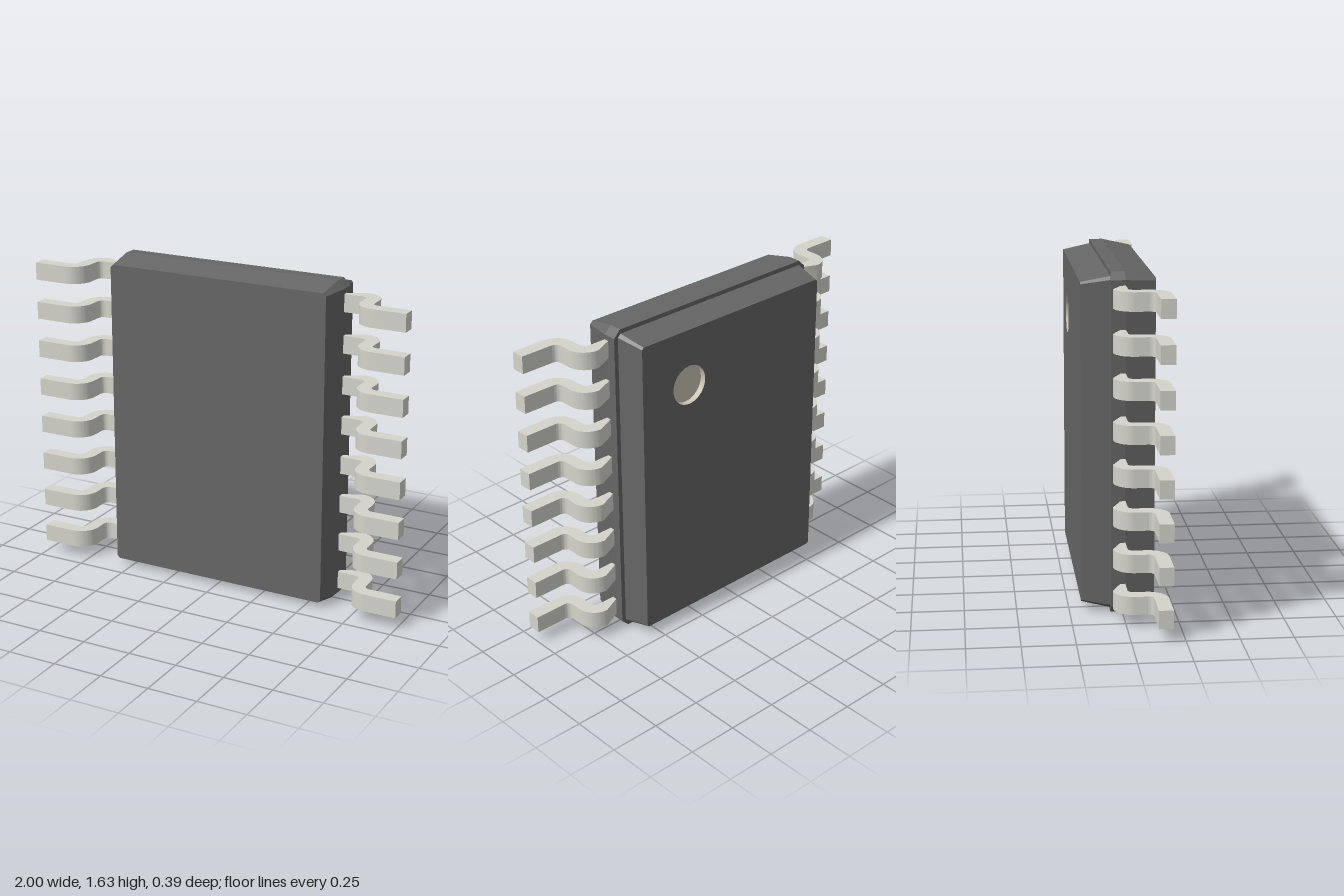
import * as THREE from 'three';
import { mergeGeometries, toCreasedNormals } from 'three/addons/utils/BufferGeometryUtils.js';

const MID_Y = 0.8175;
const SPLIT_Z = -0.056;
const BACK_Z = -0.194;
const DIMPLE = { x: 0.28, y: 1.30 - MID_Y, r: 0.1, depth: 0.03 };

// Rectangle with chamfered corners, anticlockwise
function outline([, hx, hy, c]) {
  return [
    [hx, -hy + c], [hx, hy - c], [hx - c, hy], [-hx + c, hy],
    [-hx, hy - c], [-hx, -hy + c], [-hx + c, -hy], [hx - c, -hy],
  ].map(([x, y]) => new THREE.Vector2(x, y));
}

// Flat end face of a moulding, with an optional hole
function cap(ring, facesBack, hole) {
  const shape = new THREE.Shape(outline(ring));
  if (hole) {
    shape.holes.push(new THREE.Path().absarc(facesBack ? -hole.x : hole.x, hole.y, hole.r, 0, Math.PI * 2, true));
  }
  const geo = new THREE.ShapeGeometry(shape, 20);
  if (facesBack) geo.rotateY(Math.PI);
  geo.translate(0, 0, ring[0]);
  geo.deleteAttribute('uv');
  return geo.toNonIndexed();
}

// Loft through rings [z, halfWidth, halfHeight, chamfer], listed front to back
function moulding(rings, hole) {
  const pos = [];
  for (let i = 0; i < rings.length - 1; i++) {
    const p = outline(rings[i]), q = outline(rings[i + 1]);
    for (let k = 0; k < 8; k++) {
      const n = (k + 1) % 8;
      const a = [p[k].x, p[k].y, rings[i][0]], b = [p[n].x, p[n].y, rings[i][0]];
      const c = [q[n].x, q[n].y, rings[i + 1][0]], d = [q[k].x, q[k].y, rings[i + 1][0]];
      pos.push(...a, ...d, ...b, ...b, ...d, ...c);
    }
  }
  const sides = new THREE.BufferGeometry();
  sides.setAttribute('position', new THREE.Float32BufferAttribute(pos, 3));
  sides.computeVertexNormals();
  return mergeGeometries([sides, cap(rings[0], false), cap(rings[rings.length - 1], true, hole)]);
}

// Gull-wing lead drawn in the x-z plane and extruded along y
function leadGeometry() {
  const zTop = SPLIT_Z, zFoot = 0.193, t = 0.068, h = 0.088;
  const xIn = 0.736, xOut = xIn + t, R = 0.096, r = R - t;
  const s = new THREE.Shape();
  s.moveTo(0.56, zTop);
  s.absarc(xOut - R, zTop + R, R, -Math.PI / 2, 0, false);
  s.absarc(xOut + r, zFoot - R, r, Math.PI, Math.PI / 2, true);
  s.lineTo(1, zFoot - t);
  s.lineTo(1, zFoot);
  s.absarc(xIn + R, zFoot - R, R, Math.PI / 2, Math.PI, false);
  s.absarc(xIn - r, zTop + R, r, 0, -Math.PI / 2, true);
  s.lineTo(0.56, zTop + t);
  s.closePath();
  const geo = new THREE.ExtrudeGeometry(s, { depth: h, bevelEnabled: false, curveSegments: 10 });
  geo.translate(0, 0, -h / 2);
  geo.rotateX(Math.PI / 2);
  return toCreasedNormals(geo, 0.6);
}

export function createModel() {
  const model = new THREE.Group();
  model.name = 'chipPackage';
  const plastic = new THREE.MeshStandardMaterial({ color: 0x666666 });
  const metal = new THREE.MeshStandardMaterial({ color: 0xd4d4cc });
  const marker = new THREE.MeshStandardMaterial({ color: 0xc8c2b4, side: THREE.DoubleSide });

  function add(parent, name, geo, mat) {
    const mesh = new THREE.Mesh(geo, mat);
    mesh.name = name;
    parent.add(mesh);
    return mesh;
  }

  // Two-part body, the back half slightly smaller
  const body = new THREE.Group();
  body.name = 'body';
  body.position.y = MID_Y;
  model.add(body);
  add(body, 'frontMoulding', moulding([
    [0.153, 0.584, 0.787, 0.014],
    [0.01, 0.614, 0.8175, 0.036],
    [SPLIT_Z, 0.614, 0.8175, 0.036],
  ]), plastic);
  add(body, 'backMoulding', moulding([
    [SPLIT_Z, 0.592, 0.796, 0.016],
    [BACK_Z, 0.566, 0.768, 0.01],
  ], DIMPLE), plastic);

  // Round index dimple sunk into the back face
  const { x, y, r, depth } = DIMPLE;
  const wall = new THREE.CylinderGeometry(r, r, depth, 40, 1, true).rotateX(Math.PI / 2);
  add(body, 'dimpleWall', wall, marker).position.set(x, y, BACK_Z + depth / 2);
  const floor = new THREE.CircleGeometry(r, 40).rotateY(Math.PI);
  add(body, 'dimpleFloor', floor, marker).position.set(x, y, BACK_Z + depth);

  // Eight leads per side; half a turn about z mirrors them
  const lead = leadGeometry();
  for (const side of ['left', 'right']) {
    const row = new THREE.Group();
    row.name = side + 'Leads';
    row.position.y = MID_Y;
    if (side === 'right') row.rotation.z = Math.PI;
    for (let i = 0; i < 8; i++) {
      add(row, side + 'Lead' + (i + 1), lead, metal).position.y = (i - 3.5) * 0.2035;
    }
    model.add(row);
  }
  return model;
}
